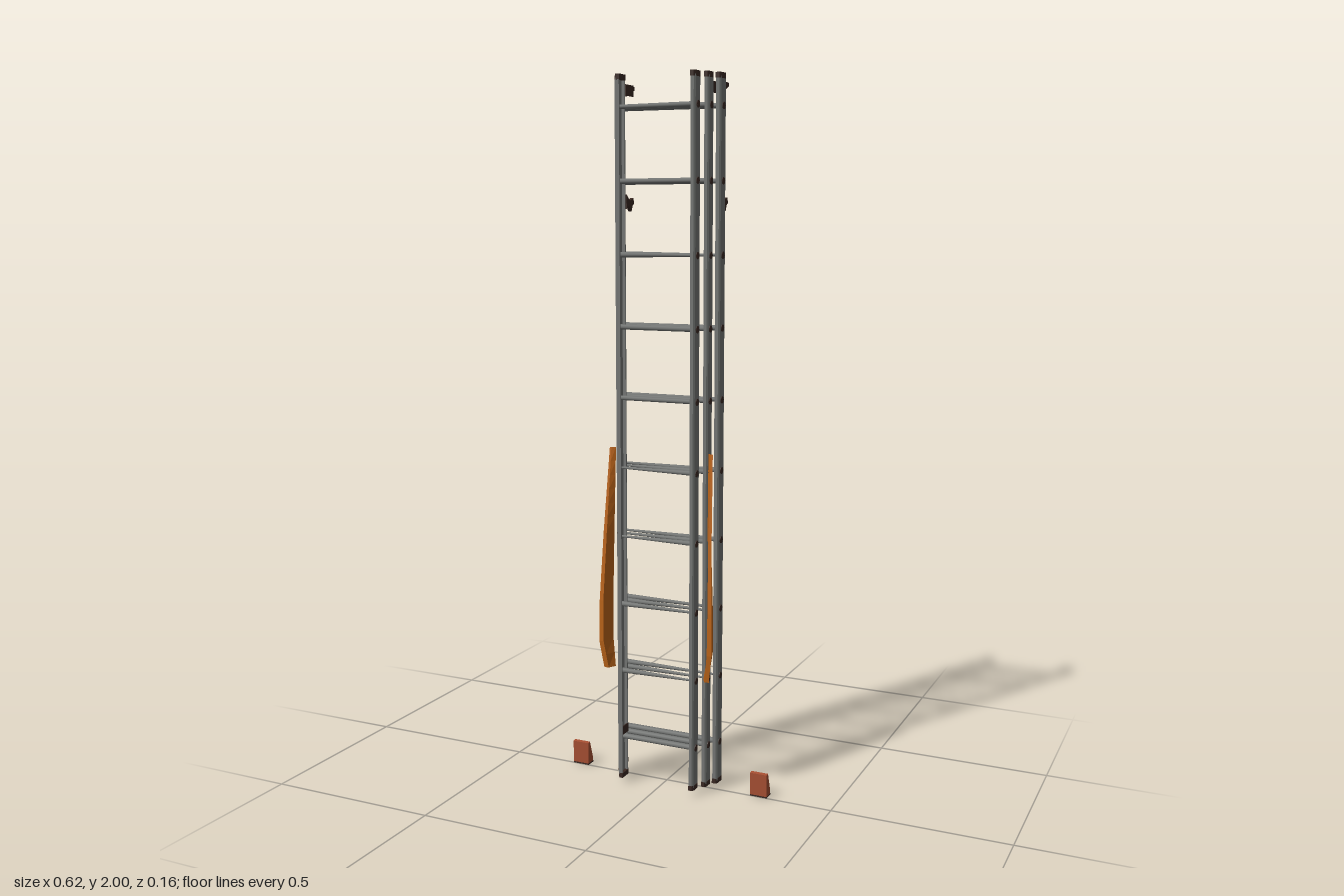
import * as THREE from 'three';

const metal = new THREE.MeshStandardMaterial({ color: 0x747674 });
metal.name = 'grey metal';
const dark = new THREE.MeshStandardMaterial({ color: 0x3a2923 });
dark.name = 'dark brown';
const orange = new THREE.MeshStandardMaterial({ color: 0xbb6419 });
orange.name = 'orange';
const rust = new THREE.MeshStandardMaterial({ color: 0xa54e32 });
rust.name = 'rust red';

// Extrude a plan outline of [x, z] points upwards from y0 to y1
function prism(points, y0, y1) {
  const shape = new THREE.Shape(points.map(([x, z]) => new THREE.Vector2(x, -z)));
  const g = new THREE.ExtrudeGeometry(shape, { depth: y1 - y0, bevelEnabled: false });
  return g.rotateX(-Math.PI / 2).translate(0, y0, 0);
}

// Extrude a side outline of [z, y] points along x, centred on cx
function sideProfile(points, cx, width) {
  const shape = new THREE.Shape(points.map(([z, y]) => new THREE.Vector2(-z, y)));
  const g = new THREE.ExtrudeGeometry(shape, { depth: width, bevelEnabled: false });
  return g.translate(0, 0, -width / 2).rotateY(Math.PI / 2).translate(cx, 0, 0);
}

function lerpTable(rows, y, column) {
  for (let i = 1; i < rows.length; i++) {
    const a = rows[i - 1], b = rows[i];
    if (y <= b[0] + 1e-6) {
      return THREE.MathUtils.lerp(a[column], b[column], (y - a[0]) / (b[0] - a[0]));
    }
  }
  return rows[rows.length - 1][column];
}

// Long bowed strap: height, centre x, back z, front z, thickness
const strapRows = [
  [0.34, 0.151, 0.046, 0.068, 0.014],
  [0.42, 0.162, 0.038, 0.077, 0.014],
  [0.53, 0.162, 0.036, 0.076, 0.012],
  [0.74, 0.156, 0.036, 0.060, 0.010],
  [0.98, 0.150, 0.030, 0.035, 0.005],
];
function strapGeometry(side) {
  const g = new THREE.BoxGeometry(1, 0.64, 1, 1, 16, 1).translate(0, 0.66, 0);
  const p = g.attributes.position;
  for (let i = 0; i < p.count; i++) {
    const y = p.getY(i), v = p.getZ(i);
    const z = THREE.MathUtils.lerp(lerpTable(strapRows, y, 2), lerpTable(strapRows, y, 3), v + 0.5);
    const x = side * (lerpTable(strapRows, y, 1) + v * 0.012) - 0.004;
    p.setXYZ(i, x + p.getX(i) * lerpTable(strapRows, y, 4), y, z);
  }
  const flat = g.toNonIndexed();
  flat.computeVertexNormals();
  return flat;
}

export function createModel() {
  const model = new THREE.Group();
  model.name = 'extensionLadder';
  const add = (parent, name, geometry, material) => {
    const mesh = new THREE.Mesh(geometry, material);
    mesh.name = name;
    parent.add(mesh);
    return mesh;
  };

  // Three nested sections: outer rail face, rail width, back z, front z
  const sections = [
    ['backSection', 0.159, 0.014, -0.034, 0.004],
    ['middleSection', 0.140, 0.013, 0.006, 0.040],
    ['frontSection', 0.118, 0.013, 0.043, 0.080],
  ];
  // Rung radius at the right and left ends
  const rungEnds = [
    [0.009, 0.009], [0.009, 0.003], [0.009, 0.004], [0.004, 0.009], [0.004, 0.009],
    [0.008, 0.008], [0.009, 0.009], [0.010, 0.004], [0.009, 0.009], [0.007, 0.009],
  ];

  for (const [name, outer, width, z0, z1] of sections) {
    const section = new THREE.Group();
    section.name = name;
    model.add(section);
    const mid = (z0 + z1) / 2, inner = outer - width;

    for (const s of [1, -1]) {
      // Channel rail, open towards the rungs
      const w = 0.004, f = 0.004, c = 0.004;
      const channel = [
        [outer - c, z0], [outer, z0 + c], [outer, z1 - c], [outer - c, z1], [inner, z1],
        [inner, z1 - f], [outer - w, z1 - f], [outer - w, z0 + f], [inner, z0 + f], [inner, z0],
      ].map(([x, z]) => [s * x, z]);
      add(section, 'rail', prism(channel, 0.026, 1.99), metal);

      // End caps
      const cap = [
        [outer - 0.004, z0 - 0.001], [outer + 0.001, z0 + 0.006], [outer + 0.001, z1 - 0.006],
        [outer - 0.004, z1 + 0.001], [inner - 0.001, z1 + 0.001], [inner - 0.001, z0 - 0.001],
      ].map(([x, z]) => [s * x, z]);
      add(section, 'topCap', prism(cap, 1.985, 2), dark);
      add(section, 'bottomCap', prism(cap, 0.018, 0.032), dark);
    }

    // Rungs with dark plugs on the outside of the rails
    rungEnds.forEach(([right, left], i) => {
      const y = 0.14 + i * 0.1972;
      const rung = new THREE.CylinderGeometry(left, right, 2 * outer - 0.006, 8);
      rung.rotateZ(-Math.PI / 2).scale(1, 0.8, 1.25).translate(0, y, mid);
      add(section, 'rung', rung, metal);
      for (const s of [1, -1]) {
        const plug = new THREE.CylinderGeometry(0.010, 0.010, 0.003, 8);
        plug.rotateZ(Math.PI / 2).translate(s * (outer + 0.0005), y, mid);
        add(section, 'rungPlug', plug, dark);
      }
    });
  }

  for (const s of [1, -1]) {
    // Hooks at the top of the back section
    const hook = [[-0.03, 1.95], [-0.045, 1.955], [-0.078, 1.97], [-0.078, 1.979], [-0.03, 1.982]];
    add(model, 'topHook', sideProfile(hook, s * 0.142, 0.011), dark);

    // Guide brackets behind the rails
    const bracket = [
      [-0.03, 1.645], [-0.045, 1.655], [-0.06, 1.638], [-0.068, 1.655],
      [-0.077, 1.66], [-0.072, 1.675], [-0.05, 1.668], [-0.03, 1.685],
    ];
    add(model, 'guideBracket', sideProfile(bracket, s * 0.143, 0.010), dark);

    // Thin latch plates inside the rails
    const latch = new THREE.BoxGeometry(0.003, 0.03, 0.045);
    add(model, 'latchPlate', latch.translate(s * 0.126, 1.965, -0.024), dark);
    const lowerLatch = new THREE.BoxGeometry(0.003, 0.025, 0.036);
    add(model, 'lowerLatch', lowerLatch.translate(s * 0.106, 0.16, 0.058), dark);

    add(model, 'sideStrap', strapGeometry(s), orange);

    // Separate wedge feet with a bolt on the slope
    const wedge = [[0, 0], [0, 0.068], [-0.010, 0.07], [-0.03, 0.012], [-0.03, 0]];
    add(model, 'foot', sideProfile(wedge, s * 0.285, 0.05), rust);
    const bolt = new THREE.CylinderGeometry(0.004, 0.004, 0.004, 8);
    bolt.rotateX(-1.239).translate(s * 0.285, 0.055, -0.0155);
    add(model, 'footBolt', bolt, dark);
    const sole = new THREE.BoxGeometry(0.0505, 0.004, 0.0305);
    add(model, 'footSole', sole.translate(s * 0.285, 0.002, -0.015), dark);
  }
  return model;
}
